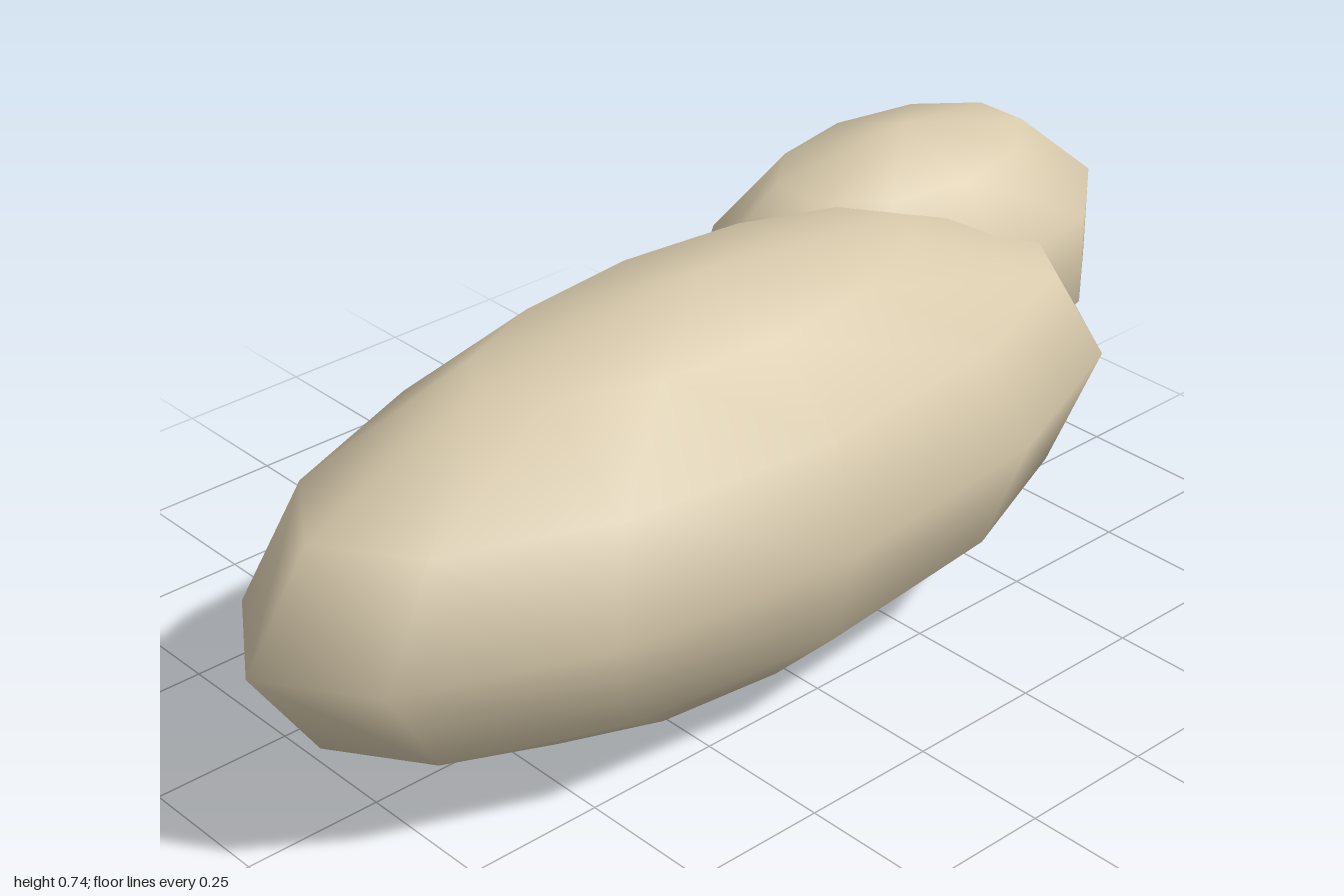
import * as THREE from 'three';

export function createModel() {
  const model = new THREE.Group();
  const stone = new THREE.MeshStandardMaterial({ color: 0xd8caac });
  stone.name = 'pale sandstone';

  // A coarse, smooth-shaded ellipsoid with its poles on y
  function pebble(name, radii, position, sides, rings, turn) {
    const geometry = new THREE.SphereGeometry(1, sides, rings, turn);
    geometry.scale(...radii);
    const mesh = new THREE.Mesh(geometry, stone);
    mesh.name = name;
    mesh.position.set(...position);
    model.add(mesh);
  }

  // Long boulder lying along x
  pebble('largeBoulder', [0.925, 0.371, 0.371], [-0.073, 0.373, 0.037], 12, 6, 0);
  // Smaller boulder set into its left rear end
  pebble('smallBoulder', [0.464, 0.278, 0.278], [0.579, 0.467, -0.145], 10, 5, Math.PI / 2);

  return model;
}
